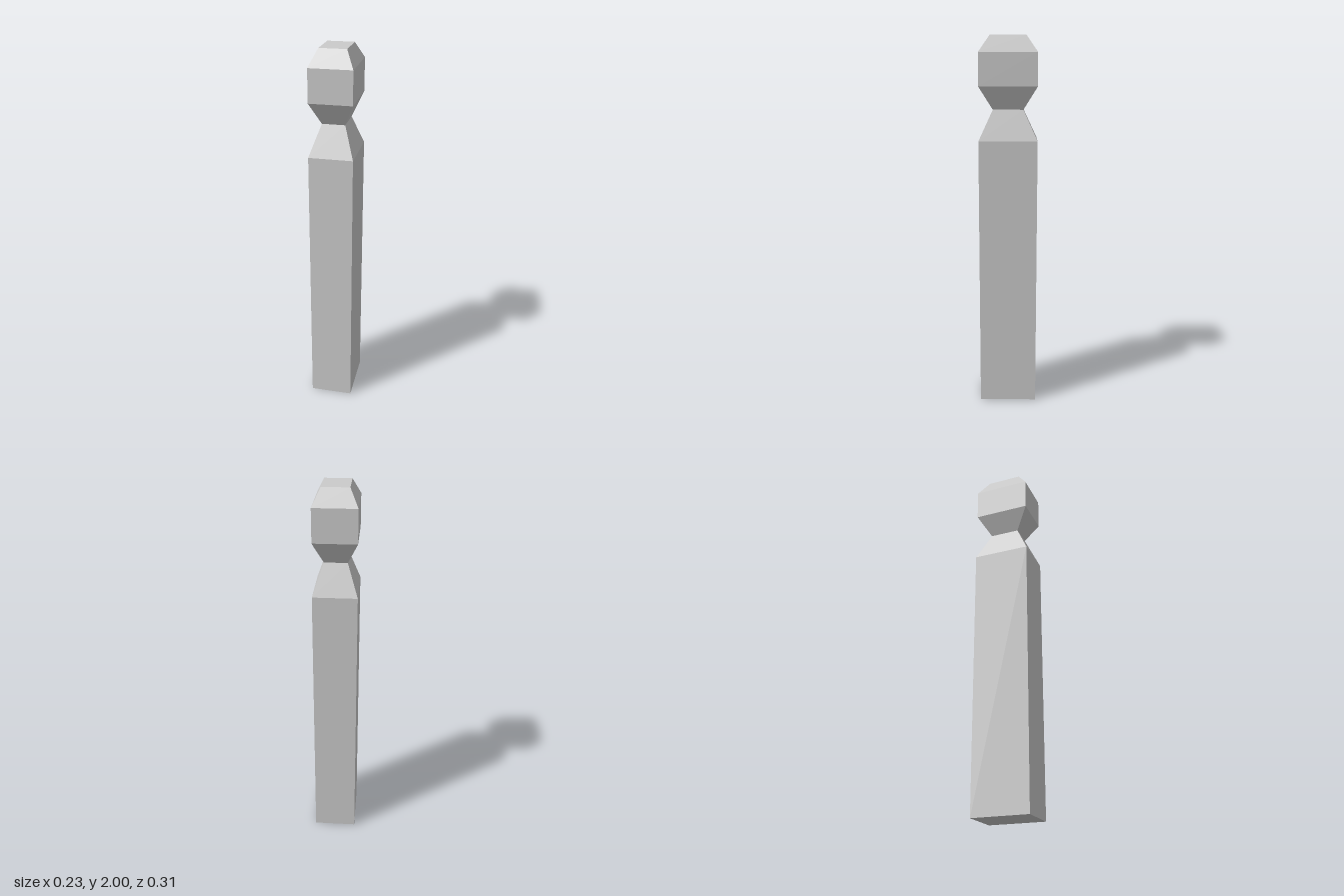
import * as THREE from 'three';

const material = new THREE.MeshStandardMaterial({ color: 0xcccccc, flatShading: true });

// Lofts rectangular sections [y, halfWidth, halfDepth], listed bottom to top
function loft(name, sections, capBottom, capTop) {
  const rings = sections.map(([y, w, d]) => [[w, y, d], [w, y, -d], [-w, y, -d], [-w, y, d]]);
  const positions = [];
  const quad = (a, b, c, d) => positions.push(...a, ...b, ...c, ...a, ...c, ...d);
  for (let i = 0; i < rings.length - 1; i++) {
    for (let k = 0; k < 4; k++) {
      const n = (k + 1) % 4;
      quad(rings[i][k], rings[i][n], rings[i + 1][n], rings[i + 1][k]);
    }
  }
  if (capBottom) quad(...[...rings[0]].reverse());
  if (capTop) quad(...rings[rings.length - 1]);
  const geometry = new THREE.BufferGeometry();
  geometry.setAttribute('position', new THREE.Float32BufferAttribute(positions, 3));
  geometry.computeVertexNormals();
  const mesh = new THREE.Mesh(geometry, material);
  mesh.name = name;
  return mesh;
}

export function createModel() {
  const group = new THREE.Group();
  group.name = 'bollard';
  const neck = [1.624, 0.06, 0.08];

  // Square-cut shaft with sloping shoulders up to the neck
  group.add(loft('shaft', [[0, 0.115, 0.154], [1.465, 0.115, 0.154], neck], true, false));

  // Faceted head flaring out of the neck, with a chamfered top
  group.add(loft('head', [neck, [1.743, 0.112, 0.152], [1.915, 0.112, 0.152], [2, 0.07, 0.094]], false, true));

  return group;
}
